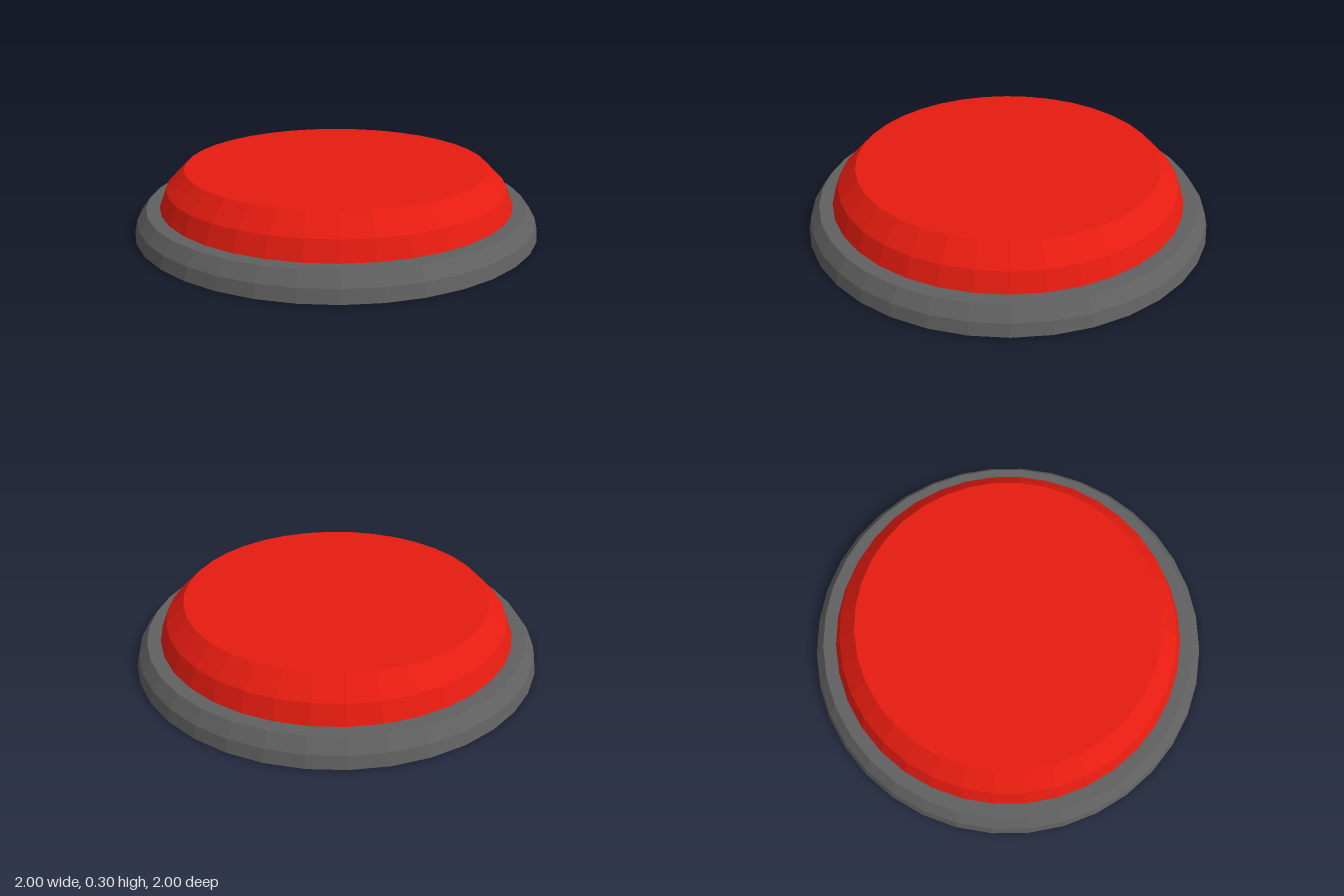
import * as THREE from 'three';

const SIDES = 36;

// Faceted disc turned from a bottom-to-top profile of [radius, height]
function turned(name, profile, color) {
  const points = profile.map(([r, y]) => new THREE.Vector2(r, y));
  const material = new THREE.MeshStandardMaterial({ color, flatShading: true });
  const mesh = new THREE.Mesh(new THREE.LatheGeometry(points, SIDES), material);
  mesh.name = name;
  return mesh;
}

export function createModel() {
  const model = new THREE.Group();
  model.name = 'pushButton';

  // Dark housing with a rounded rim, closed underneath
  model.add(turned('base', [[0, 0], [1, 0], [0.985, 0.06], [0.94, 0.12], [0, 0.12]], 0x606060));

  // Red cap with a bevelled edge, resting on the housing
  model.add(turned('buttonCap', [[0.875, 0.12], [0.84, 0.21], [0.75, 0.3], [0, 0.3]], 0xe61c10));

  return model;
}
